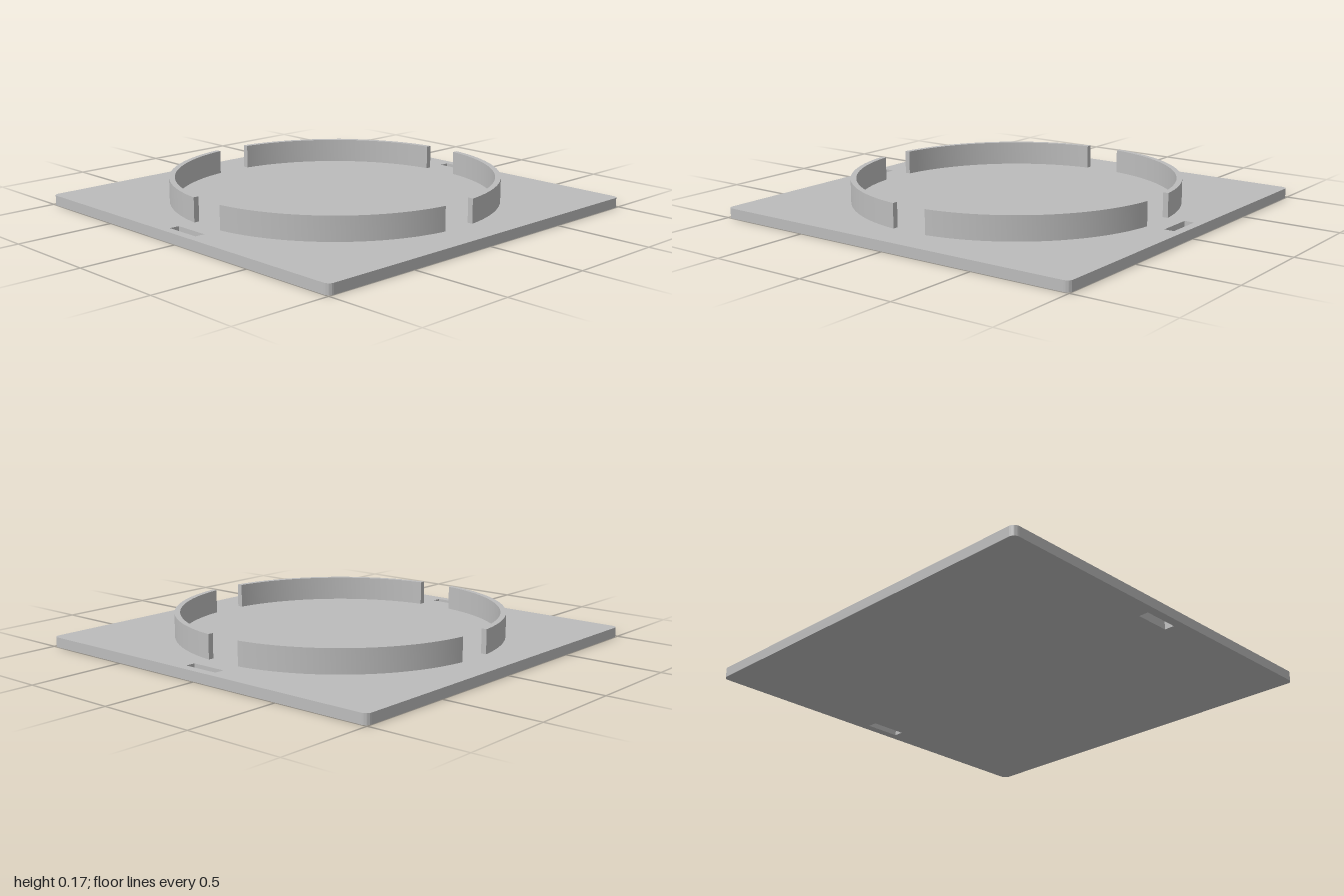
import * as THREE from 'three';
import { toCreasedNormals } from 'three/addons/utils/BufferGeometryUtils.js';

const PLATE = 0.05, TOP = 0.17, GAP = 0.094;
const OUTER = 0.82, INNER = 0.792, CORNER = 0.03;

// Extrude a plan shape upwards from height y, smoothing only gentle curves
function raise(shape, y, height) {
  const geometry = new THREE.ExtrudeGeometry(shape, { depth: height, bevelEnabled: false, curveSegments: 32 });
  geometry.rotateX(-Math.PI / 2).translate(0, y, 0);
  return toCreasedNormals(geometry, Math.PI / 6);
}

function plateShape() {
  const shape = new THREE.Shape();
  const c = 1 - CORNER;
  [[c, c], [-c, c], [-c, -c], [c, -c]].forEach(([x, y], i) =>
    shape.absarc(x, y, CORNER, i * Math.PI / 2, (i + 1) * Math.PI / 2, false));
  shape.closePath();
  // Strap slots near the left and right edges
  for (const x of [-0.93, 0.93]) {
    const slot = new THREE.Path();
    slot.moveTo(x - 0.025, -GAP);
    slot.lineTo(x - 0.025, GAP);
    slot.lineTo(x + 0.025, GAP);
    slot.lineTo(x + 0.025, -GAP);
    slot.closePath();
    shape.holes.push(slot);
  }
  return shape;
}

// Quarter wall whose ends are parallel to the axes
function wallShape() {
  const a = Math.asin(GAP / OUTER), b = Math.asin(GAP / INNER);
  const shape = new THREE.Shape();
  shape.absarc(0, 0, OUTER, a, Math.PI / 2 - a, false);
  shape.absarc(0, 0, INNER, Math.PI / 2 - b, b, true);
  shape.closePath();
  return shape;
}

export function createModel() {
  const grey = new THREE.MeshStandardMaterial({ color: 0xbcbcbc });
  grey.name = 'plain grey';
  const model = new THREE.Group();
  model.name = 'ringHolderPlate';

  const plate = new THREE.Mesh(raise(plateShape(), 0, PLATE), grey);
  plate.name = 'basePlate';
  model.add(plate);

  // Four wall segments form the interrupted ring
  const wallGeometry = raise(wallShape(), PLATE, TOP - PLATE);
  for (let i = 0; i < 4; i++) {
    const wall = new THREE.Mesh(wallGeometry, grey);
    wall.name = `ringWall${i + 1}`;
    wall.rotation.y = i * Math.PI / 2;
    model.add(wall);
  }
  return model;
}
